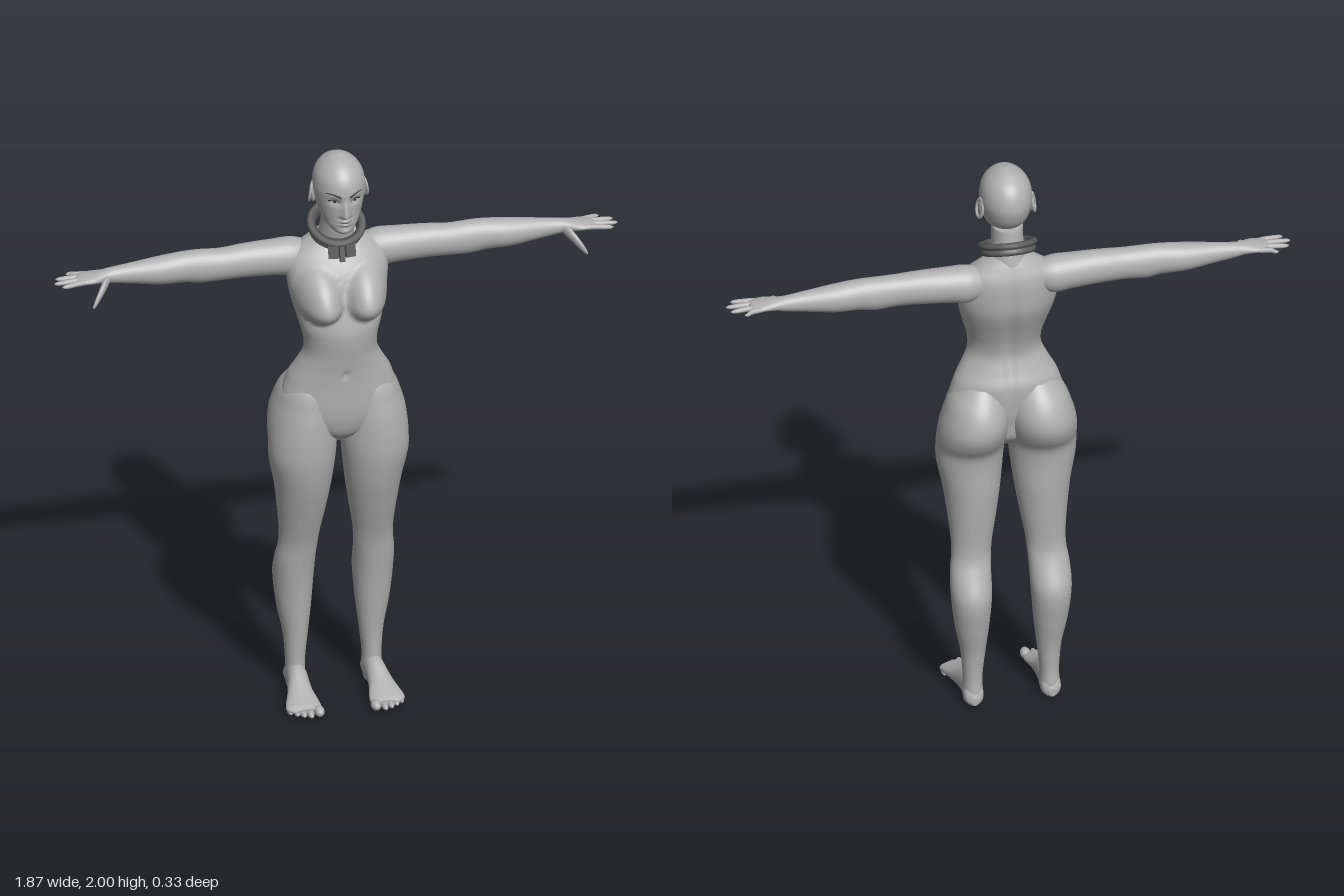
import * as THREE from 'three';

const mat = (name, color) => Object.assign(new THREE.MeshStandardMaterial({ color }), { name });
const gauss = (d, s) => Math.exp(-(d * d) / (s * s));

// Smooth interpolation of section rows [t, centre, radius, low, high]
function sample(rows, t) {
  const n = rows.length - 1;
  let k = 0;
  while (k < n - 1 && t > rows[k + 1][0]) k++;
  const slope = (i, c) => {
    const a = rows[Math.max(0, i - 1)], b = rows[Math.min(n, i + 1)];
    return (b[c] - a[c]) / (b[0] - a[0]);
  };
  const a = rows[k], b = rows[k + 1], h = b[0] - a[0], u = (t - a[0]) / h;
  return [1, 2, 3, 4].map(c =>
    (2 * u ** 3 - 3 * u * u + 1) * a[c] + (u ** 3 - 2 * u * u + u) * h * slope(k, c) +
    (3 * u * u - 2 * u ** 3) * b[c] + (u ** 3 - u * u) * h * slope(k + 1, c));
}

// Closed loft of oval sections along one axis; rule(p, sin) may reshape each vertex
function loft(axis, rows, steps, sides, rule) {
  const pos = [], idx = [], t0 = rows[0][0], t1 = rows[rows.length - 1][0];
  for (let i = 0; i <= steps; i++) {
    const t = t0 + (t1 - t0) * (1 - Math.cos(Math.PI * i / steps)) / 2;
    const [c, r, lo, hi] = sample(rows, t);
    for (let j = 0; j < sides; j++) {
      const a = j / sides * Math.PI * 2, sn = Math.sin(a);
      const w = c + Math.max(r, 0.001) * Math.cos(a) * (axis === 'z' ? -1 : 1);
      const d = (lo + hi) / 2 + (hi - lo) / 2 * sn;
      const p = axis === 'y' ? new THREE.Vector3(w, t, d)
        : axis === 'x' ? new THREE.Vector3(t, d, w) : new THREE.Vector3(w, d, t);
      if (rule) rule(p, sn);
      pos.push(p.x, p.y, p.z);
    }
  }
  const at = (i, j) => i * sides + j % sides;
  for (let i = 0; i < steps; i++) for (let j = 0; j < sides; j++) {
    const a = at(i, j), b = at(i, j + 1), c = at(i + 1, j), d = at(i + 1, j + 1);
    idx.push(a, c, b, b, c, d);
  }
  for (let j = 1; j < sides - 1; j++) {
    idx.push(at(0, 0), at(0, j), at(0, j + 1), at(steps, 0), at(steps, j + 1), at(steps, j));
  }
  const g = new THREE.BufferGeometry();
  g.setAttribute('position', new THREE.Float32BufferAttribute(pos, 3));
  g.setIndex(idx);
  g.computeVertexNormals();
  return g;
}

const TORSO = [
  [0.96, 0, 0.03, -0.05, 0.04], [1.0, 0, 0.11, -0.08, 0.08], [1.05, 0, 0.17, -0.09, 0.098],
  [1.1, 0, 0.195, -0.1, 0.104], [1.2, 0, 0.172, -0.105, 0.106], [1.25, 0, 0.145, -0.086, 0.11],
  [1.3, 0, 0.122, -0.07, 0.117], [1.35, 0, 0.122, -0.075, 0.124], [1.4, 0, 0.135, -0.09, 0.125],
  [1.5, 0, 0.16, -0.125, 0.1], [1.58, 0, 0.168, -0.13, 0.072], [1.63, 0, 0.155, -0.125, 0.042],
  [1.67, 0, 0.105, -0.11, 0.015], [1.7, 0, 0.06, -0.095, 0]];
const NECK = [
  [1.62, 0, 0.075, -0.12, 0], [1.68, 0, 0.062, -0.105, 0.02],
  [1.74, 0, 0.052, -0.09, 0.035], [1.8, 0, 0.052, -0.08, 0.045]];
const HEAD = [
  [1.745, 0, 0.012, 0.05, 0.08], [1.755, 0, 0.03, 0.02, 0.096], [1.775, 0, 0.05, -0.02, 0.1],
  [1.8, 0, 0.064, -0.06, 0.1], [1.83, 0, 0.075, -0.09, 0.102], [1.87, 0, 0.083, -0.107, 0.106],
  [1.9, 0, 0.085, -0.11, 0.108], [1.94, 0, 0.078, -0.1, 0.098], [1.97, 0, 0.06, -0.078, 0.075],
  [1.99, 0, 0.035, -0.045, 0.045], [1.997, 0, 0.018, -0.025, 0.02], [2.0, 0, 0.003, -0.005, 0.001]];
const LEG = [
  [1.2, 0.09, 0.06, -0.09, 0.07], [1.15, 0.1, 0.09, -0.135, 0.09], [1.1, 0.105, 0.105, -0.16, 0.098],
  [1.05, 0.112, 0.112, -0.165, 0.105], [1.0, 0.117, 0.113, -0.145, 0.108], [0.96, 0.119, 0.112, -0.118, 0.108],
  [0.9, 0.121, 0.109, -0.11, 0.105], [0.8, 0.117, 0.094, -0.11, 0.085], [0.7, 0.118, 0.08, -0.105, 0.055],
  [0.6, 0.122, 0.067, -0.1, 0.022], [0.55, 0.125, 0.065, -0.103, 0.008], [0.5, 0.13, 0.067, -0.125, 0],
  [0.42, 0.132, 0.067, -0.16, -0.012], [0.3, 0.13, 0.056, -0.146, -0.025], [0.2, 0.126, 0.041, -0.126, -0.035],
  [0.1, 0.127, 0.032, -0.12, -0.038], [0.04, 0.127, 0.033, -0.126, -0.03], [0.008, 0.128, 0.028, -0.118, -0.03]].reverse();
const FOOT = [
  [-0.13, 0.128, 0.01, 0.012, 0.04], [-0.115, 0.128, 0.03, 0.003, 0.07], [-0.06, 0.128, 0.033, 0, 0.1],
  [-0.02, 0.13, 0.035, 0, 0.095], [0.03, 0.135, 0.042, 0, 0.07], [0.08, 0.138, 0.055, 0, 0.047],
  [0.11, 0.138, 0.057, 0, 0.036], [0.13, 0.13, 0.04, 0.004, 0.027]];
const ARM = [
  [0.08, -0.06, 0.04, 1.57, 1.655], [0.14, -0.06, 0.058, 1.545, 1.672], [0.2, -0.058, 0.056, 1.55, 1.672],
  [0.3, -0.055, 0.05, 1.555, 1.67], [0.38, -0.052, 0.046, 1.555, 1.665], [0.45, -0.055, 0.046, 1.552, 1.667],
  [0.5, -0.055, 0.045, 1.56, 1.666], [0.58, -0.055, 0.044, 1.562, 1.658], [0.67, -0.055, 0.033, 1.575, 1.647],
  [0.75, -0.055, 0.026, 1.587, 1.637], [0.77, -0.052, 0.028, 1.592, 1.634], [0.81, -0.048, 0.038, 1.598, 1.63],
  [0.85, -0.05, 0.036, 1.6, 1.624], [0.86, -0.05, 0.028, 1.603, 1.62]];

// Nose, eye sockets, lips and chin as offsets of the front of the head
function faceBump(x, y) {
  const ax = Math.abs(x), f = THREE.MathUtils.clamp((1.885 - y) / 0.06, 0, 1);
  const nose = y > 1.825 ? f : gauss(y - 1.825, 0.009);
  return 0.024 * nose * gauss(x, 0.009 + 0.005 * f)
    - 0.009 * gauss(ax - 0.033, 0.018) * gauss(y - 1.874, 0.013)
    + 0.007 * gauss(x, 0.02) * (gauss(y - 1.803, 0.006) + gauss(y - 1.79, 0.006))
    + 0.005 * gauss(x, 0.018) * gauss(y - 1.765, 0.01);
}
function faceZ(x, y) {
  const [, r, lo, hi] = sample(HEAD, y);
  return (lo + hi) / 2 + (hi - lo) / 2 * Math.sqrt(Math.max(0, 1 - (x / r) ** 2)) + faceBump(x, y);
}
// Chest, spine groove and navel
function torsoShape(p, sn) {
  if (sn > 0) {
    const dy = p.y - 1.495;
    const d = ((Math.abs(p.x) - 0.083) / 0.075) ** 2 + (dy / (dy > 0 ? 0.115 : 0.066)) ** 2;
    p.z += 0.072 * Math.max(0, 1 - d) ** 0.85 - 0.008 * gauss(p.x, 0.01) * gauss(p.y - 1.235, 0.012);
  } else {
    p.z += 0.014 * gauss(p.x, 0.022) * gauss(p.y - 1.36, 0.2);
  }
}

export function createModel() {
  const skin = mat('body grey', 0xb0b0b0), dark = mat('collar grey', 0x5c5c5c), ink = mat('brow grey', 0x404040);
  const model = new THREE.Group();
  const add = (parent, name, geo, material = skin) => {
    const m = new THREE.Mesh(geo, material);
    m.name = name;
    parent.add(m);
    return m;
  };
  const ball = (parent, name, x, y, z, sx, sy, sz) => {
    const m = add(parent, name, new THREE.SphereGeometry(1, 20, 14));
    m.position.set(x, y, z);
    m.scale.set(sx, sy, sz);
    return m;
  };
  // Thin painted patch that follows the face
  const facePatch = (parent, name, x0, x1, mid, half) => {
    const g = new THREE.PlaneGeometry(1, 1, 20, 4), p = g.attributes.position;
    for (let i = 0; i < p.count; i++) {
      const u = p.getX(i) + 0.5, x = x0 + (x1 - x0) * u, y = mid(u) + p.getY(i) * 2 * half(u);
      p.setXYZ(i, x, y, faceZ(x, y) + 0.002);
    }
    g.computeVertexNormals();
    add(parent, name, g, ink);
  };

  add(model, 'torso', loft('y', TORSO, 120, 96, torsoShape));
  add(model, 'neck', loft('y', NECK, 12, 40));
  add(model, 'head', loft('y', HEAD, 120, 128, (p, sn) => { if (sn > 0) p.z += faceBump(p.x, p.y) * Math.min(1, sn * 3); }));
  facePatch(model, 'mouthLine', -0.02, 0.02, () => 1.797, u => 0.0012 * Math.sin(Math.PI * u));

  // Everything that comes in pairs
  for (const side of [1, -1]) {
    const half = new THREE.Group();
    half.name = side > 0 ? 'leftSide' : 'rightSide';
    half.scale.x = side;
    model.add(half);

    add(half, 'leg', loft('y', LEG, 90, 48));
    add(half, 'foot', loft('z', FOOT, 30, 32));
    for (let i = 0; i < 5; i++) {
      const r = i ? 0.0115 - i * 0.0005 : 0.017;
      ball(half, 'toe', [0.094, 0.123, 0.145, 0.165, 0.184][i], r, [0.133, 0.134, 0.125, 0.112, 0.097][i], r, r, 0.026);
    }
    add(half, 'arm', loft('x', ARM, 80, 36));
    // Fingers: root z, tip z, tip x
    for (const [z0, z1, x1] of [[-0.078, -0.094, 0.885], [-0.06, -0.066, 0.925], [-0.041, -0.037, 0.935], [-0.022, -0.01, 0.915]]) {
      add(half, 'finger', loft('x', [
        [0.825, z0, 0.009, 1.604, 1.622], [0.86, z0 + (z1 - z0) * 0.4, 0.009, 1.604, 1.622],
        [x1 - 0.01, z1, 0.007, 1.604, 1.617], [x1, z1, 0.002, 1.609, 1.612]], 14, 12));
    }
    add(half, 'thumb', loft('x', [
      [0.75, -0.045, 0.014, 1.595, 1.625], [0.775, -0.015, 0.018, 1.573, 1.618],
      [0.8, 0.012, 0.012, 1.552, 1.588], [0.815, 0.026, 0.008, 1.541, 1.564], [0.822, 0.03, 0.002, 1.541, 1.549]], 18, 16));

    // Ear with a raised rim
    ball(half, 'ear', 0.083, 1.863, -0.014, 0.01, 0.034, 0.02).rotation.x = -0.15;
    const rim = add(half, 'earRim', new THREE.TorusGeometry(0.02, 0.0045, 10, 28));
    rim.position.set(0.089, 1.865, -0.016);
    rim.rotation.set(-0.15, Math.PI / 2 + 0.3, 0, 'YXZ');
    rim.scale.y = 1.6;

    // Brow, lash line and eye
    facePatch(half, 'brow', 0.014, 0.062, u => 1.893 + 0.011 * Math.sin(u * 2.3), u => 0.0042 * (1 - 0.75 * u));
    facePatch(half, 'lash', 0.017, 0.053, u => 1.873 + 0.007 * Math.sin(Math.PI * u) + 0.003 * u, u => 0.001 + 0.0018 * u);
    facePatch(half, 'iris', 0.029, 0.039, () => 1.874, u => 0.005 * Math.sqrt(Math.max(0, u * (1 - u))) * 2);

    // Clasp plates hanging from the front of the collar
    const plate = add(half, 'claspPlate', new THREE.BoxGeometry(0.034, 0.05, 0.018), dark);
    plate.position.set(0.027, 1.668, 0.046);
    plate.rotation.set(-0.25, 0.3, 0);
  }

  // Tilted collar: two rounded bands with a groove between
  const collar = new THREE.Group();
  collar.name = 'collar';
  collar.position.set(0, 1.717, -0.037);
  collar.rotation.x = 0.46;
  model.add(collar);
  const profile = [[0.068, -0.02], [0.084, -0.021], [0.09, -0.015], [0.09, -0.006], [0.085, -0.002], [0.086, 0.001],
    [0.094, 0.004], [0.097, 0.011], [0.094, 0.019], [0.086, 0.022], [0.07, 0.02], [0.068, -0.02]];
  add(collar, 'collarBand', new THREE.LatheGeometry(profile.map(p => new THREE.Vector2(...p)), 64), dark);
  const clasp = add(model, 'claspCentre', new THREE.BoxGeometry(0.016, 0.06, 0.018), dark);
  clasp.position.set(0, 1.66, 0.05);
  clasp.rotation.x = -0.25;
  return model;
}
